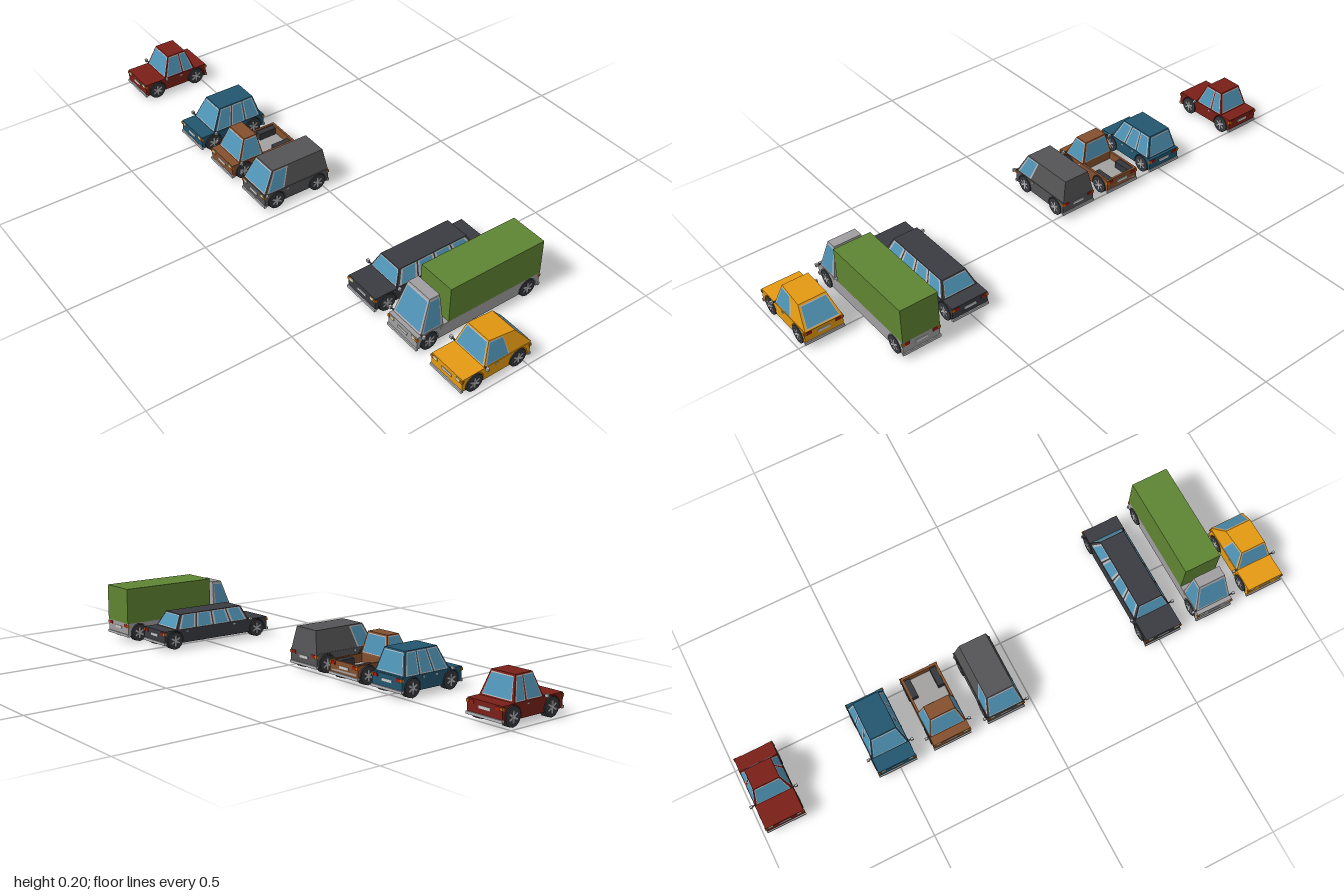
import * as THREE from 'three';
import { ConvexGeometry } from 'three/addons/geometries/ConvexGeometry.js';

const mats = {};
function mat(color, side = THREE.FrontSide) {
  const key = color + '_' + side;
  return mats[key] ??= new THREE.MeshStandardMaterial({ color, side, flatShading: true });
}
const GLASS = 0x4f93b5, TRIM = 0xb4b4b8, TYRE = 0x35373b, UNDER = 0x1b1d21, ORANGE = 0xc86a10;
const BOTTOM = 0.022, DECK = 0.07, FRONT = 0.243, HALF = 0.068;

function add(parent, name, geo, color, side) {
  const m = new THREE.Mesh(geo, mat(color, side));
  m.name = name;
  parent.add(m);
  return m;
}

function box(parent, name, color, x0, x1, y0, y1, z0, z1) {
  const m = add(parent, name, new THREE.BoxGeometry(x1 - x0, y1 - y0, z1 - z0), color);
  m.position.set((x0 + x1) / 2, (y0 + y1) / 2, (z0 + z1) / 2);
  return m;
}

// Lower body: side profile with wheel arches, extruded from x0 to x1
function lowerBody(parent, name, color, z0, z1, wheels, x0 = -HALF, x1 = HALF) {
  const s = new THREE.Shape(), r = 0.035, a = Math.asin((0.032 - BOTTOM) / r);
  s.moveTo(z0, BOTTOM);
  for (const w of wheels) {
    s.lineTo(w - r * Math.cos(a), BOTTOM);
    s.absarc(w, 0.032, r, Math.PI + a, -a, true);
  }
  s.lineTo(z1, BOTTOM);
  s.lineTo(z1, DECK);
  s.lineTo(z0, DECK);
  const g = new THREE.ExtrudeGeometry(s, { depth: x1 - x0, bevelEnabled: false, curveSegments: 8 });
  g.rotateY(-Math.PI / 2).translate(x1, 0, 0);
  add(parent, name, g, color);
}

// Wheel with spokes on its outer side
function wheel(parent, side, z) {
  const g = new THREE.Group();
  g.name = 'wheel';
  add(g, 'tyre', new THREE.CylinderGeometry(0.032, 0.032, 0.024, 12).rotateZ(Math.PI / 2), TYRE);
  add(g, 'hub', new THREE.CylinderGeometry(0.006, 0.006, 0.027, 8).rotateZ(Math.PI / 2), TRIM);
  for (let i = 0; i < 6; i++) {
    const spoke = new THREE.BoxGeometry(0.002, 0.015, 0.006).translate(0.0122, 0.012, 0);
    add(g, 'spoke', spoke.rotateX(i * Math.PI / 3), TRIM);
  }
  g.position.set(side * 0.057, 0.032, z);
  if (side < 0) g.rotation.y = Math.PI;
  parent.add(g);
}

// Part of a four-cornered face (base a,b; top d,c), lifted off the surface
function panel(parent, name, color, [a, b, c, d], [u0, u1, v0, v1], out, lift) {
  const at = (u, v) => a.clone().lerp(b, u).lerp(d.clone().lerp(c, u), v);
  const n = b.clone().sub(a).cross(d.clone().sub(a)).normalize();
  if (n.dot(out) < 0) n.negate();
  const pts = [at(u0, v0), at(u1, v0), at(u1, v1), at(u0, v1)].map(p => p.addScaledVector(n, lift));
  const g = new THREE.BufferGeometry().setFromPoints(pts);
  g.setIndex([0, 1, 2, 0, 2, 3]);
  g.computeVertexNormals();
  add(parent, name, g, color, THREE.DoubleSide);
}

function windowPane(parent, name, face, [u0, u1, v0, v1], out, fu = 0.025) {
  panel(parent, name + 'Frame', TRIM, face, [u0, u1, v0, v1], out, 0.0006);
  panel(parent, name, GLASS, face, [u0 + fu, u1 - fu, v0 + 0.035, v1 - 0.04], out, 0.0013);
}

// Tapered cabin; base and roof are [front z, rear z], heights are [front y, rear y]
function cabin(parent, color, { base, roof, heights, top = 0.046, windows, rearWindow = true }) {
  const g = new THREE.Group();
  g.name = 'cabin';
  const wb = 0.066;
  const ring = (sx) => [0, 1].map(i => {
    const w = wb + (top - wb) * (heights[i] - DECK) / (heights[0] - DECK);
    return [new THREE.Vector3(sx * wb, DECK, base[i]), new THREE.Vector3(sx * w, heights[i], roof[i])];
  });
  const [[lf, lft], [lr, lrt]] = ring(1), [[rf, rft], [rr, rrt]] = ring(-1);
  add(g, 'cabinShell', new ConvexGeometry([lf, lft, lr, lrt, rf, rft, rr, rrt]), color);
  windowPane(g, 'windscreen', [rf, lf, lft, rft], [0.04, 0.96, 0.03, 0.95], new THREE.Vector3(0, 0, 1), 0.015);
  if (rearWindow) windowPane(g, 'rearWindow', [rr, lr, lrt, rrt], [0.06, 0.94, 0.05, 0.93], new THREE.Vector3(0, 0, -1), 0.015);
  for (const [u0, u1] of windows) {
    windowPane(g, 'sideWindow', [lf, lr, lrt, lft], [u0, u1, 0.02, 0.95], new THREE.Vector3(1, 0, 0));
    windowPane(g, 'sideWindow', [rf, rr, rrt, rft], [u0, u1, 0.02, 0.95], new THREE.Vector3(-1, 0, 0));
  }
  parent.add(g);
}

// Bumpers, lights, plates, mirrors and door handles
function details(g, rear, mirrorZ, handles) {
  for (const [z, d] of [[FRONT, 1], [rear, -1]]) {
    const end = d > 0 ? 'front' : 'rear';
    const span = (a, b) => d > 0 ? [z + a, z + b] : [z - b, z - a];
    box(g, end + 'Bumper', TRIM, -0.07, 0.07, 0.02, 0.029, ...span(-0.004, 0.004));
    box(g, end + 'Plate', 0xdddddd, -0.022, 0.022, 0.046, 0.055, ...span(-0.001, 0.002));
    for (const s of [-1, 1]) {
      const xs = (a, b) => s > 0 ? [a, b] : [-b, -a];
      box(g, end + 'Indicator', ORANGE, ...xs(0.06, 0.07), 0.056, 0.065, ...span(-0.005, 0.003));
      box(g, end + 'Light', d > 0 ? 0xe6e0b0 : 0x9c1c14, ...xs(0.042, 0.059), 0.055, 0.066, ...span(-0.001, 0.0025));
    }
  }
  for (const s of [-1, 1]) {
    box(g, 'mirrorArm', TYRE, s * 0.071 - 0.006, s * 0.071 + 0.006, 0.072, 0.075, mirrorZ - 0.003, mirrorZ + 0.001);
    box(g, 'mirror', TRIM, s * 0.08 - 0.005, s * 0.08 + 0.005, 0.07, 0.08, mirrorZ - 0.004, mirrorZ + 0.004);
    for (const z of handles) box(g, 'doorHandle', 0xd0d0d0, s * 0.0685 - 0.001, s * 0.0685 + 0.001, 0.059, 0.064, z - 0.004, z + 0.004);
  }
}

function vehicle(o) {
  const g = new THREE.Group();
  g.name = o.name;
  const rear = o.rear ?? -0.018, wheels = [o.rearWheel ?? 0.027, 0.195];
  box(g, 'underside', UNDER, -0.066, 0.066, 0.0205, 0.024, rear + 0.001, FRONT - 0.001);
  for (const z of wheels) for (const s of [-1, 1]) wheel(g, s, z);
  if (o.bedFront) {
    // Open load bed with walls, floor, tailgate and inner arches
    lowerBody(g, 'frontBody', o.color, o.bedFront, FRONT, [wheels[1]]);
    for (const s of [-1, 1]) {
      const xs = s > 0 ? [0.06, HALF] : [-HALF, -0.06];
      lowerBody(g, 'bedWall', o.color, rear, o.bedFront, [wheels[0]], ...xs);
      box(g, 'bedArch', TYRE, s * 0.049 - 0.0115, s * 0.049 + 0.0115, 0.036, 0.066, wheels[0] - 0.034, wheels[0] + 0.034);
    }
    box(g, 'bedFloor', 0xa3a1a0, -0.06, 0.06, 0.034, 0.04, rear, o.bedFront);
    box(g, 'tailgate', o.color, -0.06, 0.06, BOTTOM, DECK, rear, rear + 0.008);
  } else lowerBody(g, 'body', o.color, rear, FRONT, wheels);
  cabin(g, o.color, o);
  details(g, rear, o.base[0], o.handles);
  if (o.cargo) box(g, 'cargoBox', 0x5f8533, -HALF, HALF, DECK, 0.2, rear - 0.002, 0.123);
  g.position.x = o.x;
  return g;
}

export function createModel() {
  const model = new THREE.Group();
  model.name = 'vehicles';
  const h = [0.147, 0.147];
  const list = [
    { name: 'coupe', x: -0.915, color: 0x7a2018, base: [0.158, 0.03], roof: [0.128, 0.055], heights: h,
      windows: [[0.05, 0.57], [0.62, 0.95]], handles: [0.09] },
    { name: 'estateCar', x: -0.508, color: 0x22566f, base: [0.19, -0.008], roof: [0.15, 0.012], heights: h,
      windows: [[0.04, 0.34], [0.37, 0.65], [0.68, 0.96]], handles: [0.13, 0.075] },
    { name: 'pickup', x: -0.305, color: 0x84502e, base: [0.212, 0.115], roof: [0.178, 0.128], heights: h,
      windows: [[0.06, 0.94]], handles: [0.135], bedFront: 0.115 },
    { name: 'van', x: -0.102, color: 0x545456, base: [0.24, -0.018], roof: [0.197, -0.008], heights: h, top: 0.05,
      windows: [[0.03, 0.3]], rearWindow: false, handles: [0.15] },
    { name: 'limousine', x: 0.508, color: 0x3b3c41, base: [0.158, -0.165], roof: [0.135, -0.135], heights: [0.121, 0.121],
      windows: [[0.03, 0.25], [0.27, 0.49], [0.51, 0.73], [0.75, 0.97]], handles: [0.09, -0.12],
      rear: -0.217, rearWheel: -0.173 },
    { name: 'truck', x: 0.711, color: 0xa09ea0, base: [0.228, 0.142], roof: [0.188, 0.15], heights: [0.183, 0.183], top: 0.05,
      windows: [[0.06, 0.9]], rearWindow: false, handles: [0.15], rear: -0.245, rearWheel: -0.198, cargo: true },
    { name: 'hatchback', x: 0.915, color: 0xe59a12, base: [0.16, -0.022], roof: [0.133, 0.034], heights: [0.147, 0.135],
      windows: [[0.02, 0.53]], handles: [0.112] },
  ];
  for (const o of list) model.add(vehicle(o));
  return model;
}
